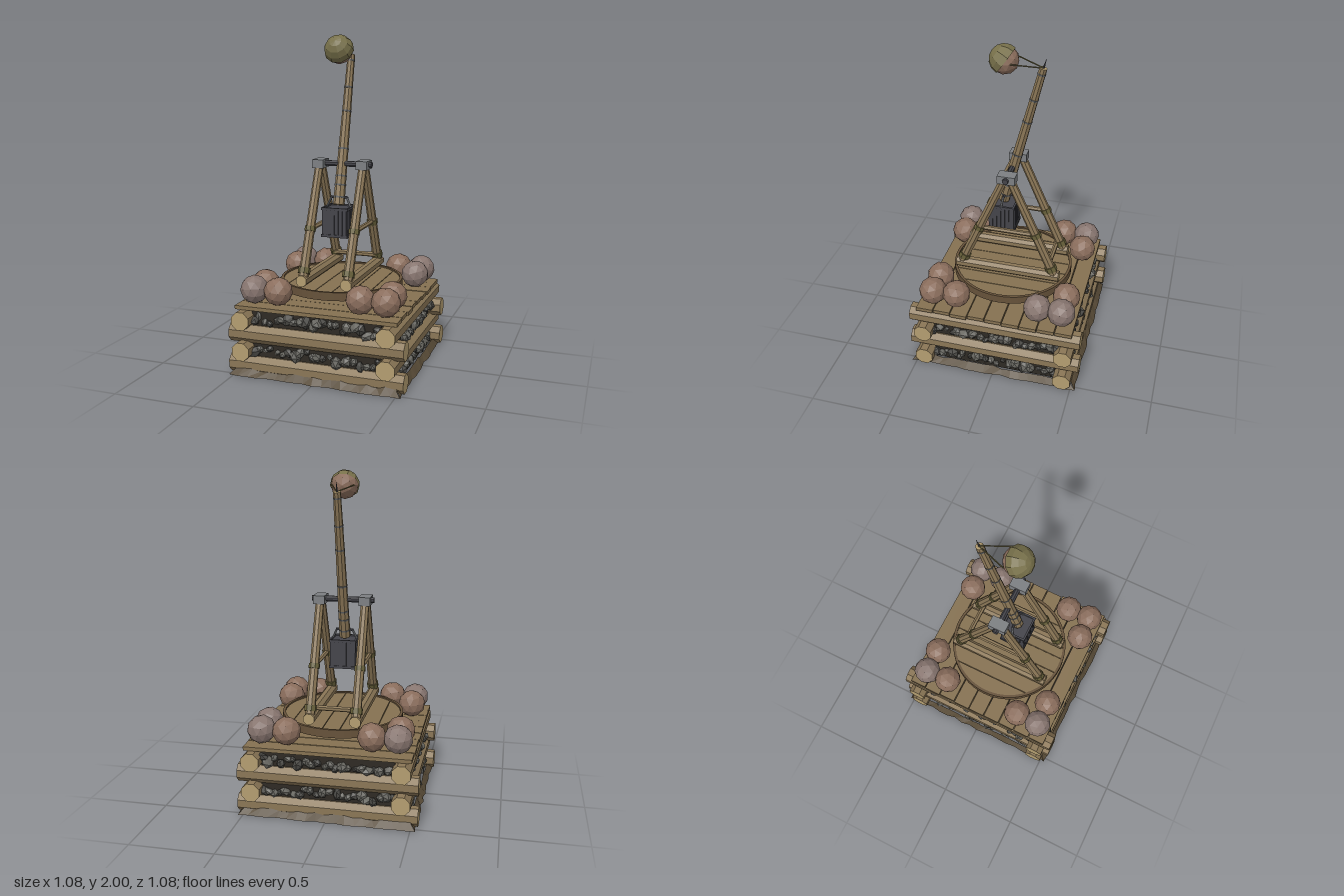
import * as THREE from 'three';

const mat = (color, side = THREE.FrontSide) => new THREE.MeshStandardMaterial({ color, side, flatShading: true });
const WOOD = mat(0x8a7656), PLANK = mat(0x857151), RIM = mat(0x66523a), CUT = mat(0xb39d70), DARK = mat(0x2e2a24);
const IRON = mat(0x44444a), STEEL = mat(0x7c7f82), BAND = mat(0x5d5f60), ROPE = mat(0x67603a);
const DIRT = mat(0x574a36, THREE.DoubleSide), RUBBLE = mat(0x66655f), RUBBLE2 = mat(0x4b4a46);
const STONES = [mat(0x87756f), mat(0x8a6d5c)], POUCH = mat(0x77704a, THREE.DoubleSide);

const V = (x, y, z) => new THREE.Vector3(x, y, z);
const UP = V(0, 1, 0);

// Small seeded generator
let seed = 7;
const rnd = () => (seed = (seed * 16807) % 2147483647) / 2147483647;
const jit = (a) => (rnd() * 2 - 1) * a;

function add(parent, name, geo, material, x = 0, y = 0, z = 0) {
  const m = new THREE.Mesh(geo, material);
  m.name = name;
  m.position.set(x, y, z);
  parent.add(m);
  return m;
}

const box = (p, name, w, h, d, m, x, y, z) => add(p, name, new THREE.BoxGeometry(w, h, d), m, x, y, z);

// Round bar from a to b
function rod(p, name, a, b, r0, r1, m, sides = 8) {
  const geo = new THREE.CylinderGeometry(r1, r0, a.distanceTo(b), sides);
  geo.rotateY(Math.PI / sides);
  const bar = add(p, name, geo, m);
  bar.position.lerpVectors(a, b, 0.5);
  bar.quaternion.setFromUnitVectors(UP, b.clone().sub(a).normalize());
  return bar;
}

// Log with pale cut ends
function log(p, name, a, b, r0, r1 = r0, sides = 8) {
  const bar = rod(p, name, a, b, r0, r1, WOOD, sides);
  bar.material = [WOOD, CUT, CUT];
  return bar;
}

// Rope or iron band wrapped around a bar, at fraction t
function wrap(p, name, a, b, t, r, w, m) {
  const d = b.clone().sub(a).normalize().multiplyScalar(w / 2);
  const c = a.clone().lerp(b, t);
  return rod(p, name, c.clone().sub(d), c.clone().add(d), r, r, m);
}

// Lumpy rock
function rock(p, name, r, m, x, y, z) {
  const s = add(p, name, new THREE.IcosahedronGeometry(r, 0), m, x, y, z);
  s.rotation.set(rnd() * 6, rnd() * 6, rnd() * 6);
  s.scale.set(1 + jit(0.3), 0.8 + jit(0.2), 1 + jit(0.3));
}

function buildBase(g) {
  const base = new THREE.Group();
  base.name = 'logBase';
  g.add(base);
  // Four crossed courses of logs, with rubble packed in the gaps
  [0.06, 0.155, 0.25, 0.343].forEach((y, i) => {
    const alongX = i % 2 === 0;
    const at = (u, v, h = y) => (alongX ? V(u, h, v) : V(v, h, u));
    for (const s of [-1, 1]) {
      log(base, 'wallLog', at(-0.54, s * 0.445), at(0.54, s * 0.445), 0.059);
      const c = at(s * 0.425, 0);
      box(base, 'packedEarth', alongX ? 0.07 : 0.8, 0.1, alongX ? 0.8 : 0.07, DARK, c.x, c.y, c.z);
      for (let k = 0; k < 22; k++) {
        const q = at(s * (0.463 + jit(0.012)), -0.39 + k * 0.037 + jit(0.01), y + jit(0.022));
        rock(base, 'rubble', 0.031 + jit(0.009), k % 3 ? RUBBLE : RUBBLE2, q.x, q.y, q.z);
      }
    }
  });
  // Uneven earth skirt along the ground
  for (let k = 0; k < 4; k++) {
    const geo = new THREE.PlaneGeometry(1.06, 1, 18, 1), pos = geo.attributes.position;
    for (let i = 0; i < pos.count; i++) {
      const top = pos.getY(i) > 0;
      const x = pos.getX(i) * (top ? 0.93 : 1);
      pos.setXYZ(i, x, top ? 0.045 + jit(0.012) : 0.002, top ? 0.495 : 0.527 + jit(0.008));
    }
    geo.rotateY(k * Math.PI / 2);
    geo.computeVertexNormals();
    add(base, 'earthSkirt', geo, DIRT);
  }
  // Deck planks
  box(base, 'deckUnderside', 0.78, 0.012, 0.78, DARK, 0, 0.394, 0);
  for (let i = 0; i < 9; i++)
    box(base, 'deckPlank', 1.0 + jit(0.006), 0.023, 0.104, PLANK, jit(0.004), 0.411 + jit(0.002), (i - 4) * 0.1095);
}

function buildTurntable(g) {
  const t = new THREE.Group();
  t.name = 'turntable';
  g.add(t);
  const R = 0.366, y0 = 0.478;
  rod(t, 'pivotPost', V(0, 0.42, 0), V(0, y0, 0), 0.052, 0.052, WOOD, 10);
  for (let k = 0; k < 12; k++) {
    const a = k * 0.524;
    rock(t, 'looseRubble', 0.02, RUBBLE2, Math.cos(a) * (0.09 + jit(0.03)), 0.432, Math.sin(a) * (0.09 + jit(0.03)));
  }
  // Planks cut to the circle
  const cuts = [-0.36, -0.26, -0.155, -0.05, 0.055, 0.16, 0.26, 0.36];
  for (let i = 0; i < cuts.length - 1; i++) {
    const a = cuts[i] + 0.002, b = cuts[i + 1] - 0.002, pts = [];
    for (let k = 0; k <= 4; k++) {
      const x = a + (b - a) * k / 4, h = Math.sqrt(R * R - x * x);
      pts.push(new THREE.Vector2(x, -h));
      pts.unshift(new THREE.Vector2(x, h));
    }
    const geo = new THREE.ExtrudeGeometry(new THREE.Shape(pts), { depth: 0.036, bevelEnabled: false });
    add(t, 'turntablePlank', geo.rotateX(-Math.PI / 2), PLANK, 0, y0, 0);
  }
  // Rim hoop
  const hoop = new THREE.Shape().absarc(0, 0, 0.377, 0, Math.PI * 2, false);
  hoop.holes.push(new THREE.Path().absarc(0, 0, 0.36, 0, Math.PI * 2, true));
  const rim = new THREE.ExtrudeGeometry(hoop, { depth: 0.05, bevelEnabled: false, curveSegments: 28 });
  add(t, 'turntableRim', rim.rotateX(-Math.PI / 2), RIM, 0, 0.473, 0);
}

function buildFrame(g) {
  const f = new THREE.Group();
  f.name = 'aFrames';
  g.add(f);
  for (const x of [-0.14, 0.14]) {
    log(f, 'sill', V(x, 0.56, -0.33), V(x, 0.56, 0.33), 0.036);
    for (const s of [-1, 1]) {
      const a = V(x, 0.575, s * 0.295), b = V(x, 1.225, s * 0.015);
      log(f, 'leg', a, b, 0.03, 0.026);
      wrap(f, 'footLashing', a, b, 0.06, 0.037, 0.035, ROPE);
      wrap(f, 'rungLashing', a, b, 0.42, 0.034, 0.03, ROPE);
    }
    log(f, 'rung', V(x, 0.848, -0.2), V(x, 0.848, 0.2), 0.015, 0.015, 6);
    box(f, 'bearingBlock', 0.07, 0.052, 0.108, STEEL, x, 1.228, 0);
  }
  log(f, 'rearCrossbar', V(-0.14, 0.612, -0.255), V(0.14, 0.612, -0.255), 0.016, 0.016, 6);
  rod(f, 'axle', V(-0.192, 1.23, 0), V(0.192, 1.23, 0), 0.018, 0.018, IRON);
}

function buildArm(g) {
  const arm = new THREE.Group();
  arm.name = 'throwingArm';
  g.add(arm);
  const a = V(0, 0.985, 0.058), b = V(0, 1.885, -0.172);
  log(arm, 'armBeam', a, b, 0.035, 0.023);
  for (const t of [0.05, 0.13, 0.19, 0.37, 0.62, 0.78, 0.96])
    wrap(arm, 'armBand', a, b, t, 0.0372 - 0.012 * t, 0.01, BAND);
  rod(arm, 'releasePin', V(0, 1.87, -0.168), V(0, 1.94, -0.188), 0.008, 0.001, IRON, 6);
  // Counterweight crate hung from the arm's foot
  const z = 0.058;
  box(arm, 'crate', 0.15, 0.165, 0.15, IRON, 0, 0.885, z);
  for (let i = 0; i < 6; i++) {
    const o = (i - 2.5) * 0.026;
    for (const s of [-1, 1]) {
      box(arm, 'crateSlat', 0.022, 0.155, 0.006, IRON, o, 0.885, z + s * 0.077);
      box(arm, 'crateSlat', 0.006, 0.155, 0.022, IRON, s * 0.077, 0.885, z + o);
    }
  }
  for (const y of [0.804, 0.969])
    for (const s of [-1, 1]) {
      box(arm, 'crateRail', 0.168, 0.016, 0.012, IRON, 0, y, z + s * 0.078);
      box(arm, 'crateRail', 0.012, 0.016, 0.168, IRON, s * 0.078, y, z);
    }
  rod(arm, 'hangerPin', V(-0.055, 1.03, 0.048), V(0.055, 1.03, 0.048), 0.008, 0.008, IRON, 6);
  for (const s of [-1, 1])
    rod(arm, 'hangerStrap', V(s * 0.048, 1.033, 0.048), V(s * 0.077, 0.97, z), 0.007, 0.007, STEEL, 6);
  // Shot held in its sling
  const c = V(0, 1.912, 0.05);
  add(arm, 'shot', new THREE.IcosahedronGeometry(0.084, 1), STONES[1], c.x, c.y, c.z);
  const pouch = add(arm, 'slingPouch', new THREE.SphereGeometry(0.09, 10, 4, 0, Math.PI * 2, 0, Math.PI * 0.53), POUCH, c.x, c.y, c.z);
  pouch.rotation.x = 0.95;
  for (const s of [-1, 1])
    rod(arm, 'slingCord', V(0, 1.885, -0.175), V(s * 0.068, 1.915, 0.0), 0.004, 0.004, ROPE, 5);
}

function buildStones(g) {
  // Three spare stones in each corner
  for (const sx of [-1, 1])
    for (const sz of [-1, 1])
      [[0.408, 0.405], [0.255, 0.405], [0.403, 0.255]].forEach(([x, z], i) => {
        const tint = (i === 0 && !(sx > 0 && sz > 0)) || (i === 2 && sx > 0 && sz < 0) ? 0 : 1;
        const s = add(g, 'spareStone', new THREE.IcosahedronGeometry(0.086, 1), STONES[tint], sx * x, 0.508, sz * z);
        s.rotation.set(jit(0.5), rnd() * 6, jit(0.5));
      });
}

export function createModel() {
  const g = new THREE.Group();
  g.name = 'trebuchetTower';
  seed = 7;
  [buildBase, buildTurntable, buildFrame, buildArm, buildStones].forEach((build) => build(g));
  return g;
}
